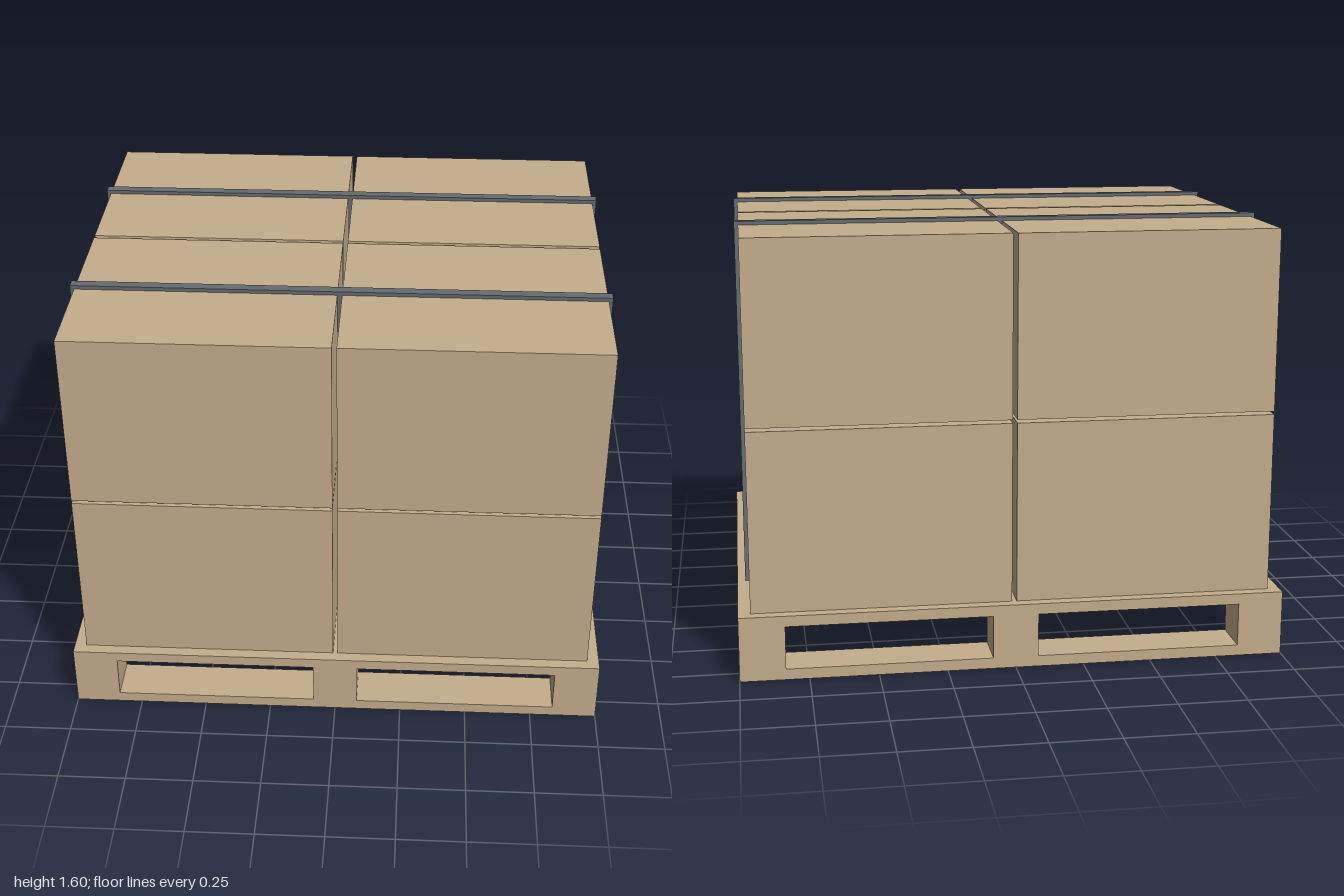
import * as THREE from 'three';

export function createModel() {
  const model = new THREE.Group();
  const cardboard = new THREE.MeshStandardMaterial({ color: 0xc4ad8c });
  cardboard.name = 'tan';
  const band = new THREE.MeshStandardMaterial({ color: 0x656b70 });
  band.name = 'slate grey';

  // Box placed by its centre in x and z and by its underside in y
  function addBox(parent, name, material, w, h, d, x, y, z) {
    const mesh = new THREE.Mesh(new THREE.BoxGeometry(w, h, d), material);
    mesh.name = name;
    mesh.position.set(x, y + h / 2, z);
    parent.add(mesh);
  }

  // Pallet: deck on three runners, each a bottom board with three blocks
  const pallet = new THREE.Group();
  pallet.name = 'pallet';
  addBox(pallet, 'deck', cardboard, 2, 0.04, 1.666, 0, 0.2, 0);
  for (const z of [-0.75, 0, 0.75]) {
    addBox(pallet, 'bottomBoard', cardboard, 2, 0.04, 0.166, 0, 0, z);
    for (const x of [-0.917, 0, 0.917]) {
      addBox(pallet, 'block', cardboard, 0.166, 0.16, 0.166, x, 0.04, z);
    }
  }
  model.add(pallet);

  // Cartons: two layers of four with narrow gaps between them
  const cartons = new THREE.Group();
  cartons.name = 'cartons';
  for (const y of [0.24, 0.919]) {
    for (const x of [-0.482, 0.482]) {
      for (const z of [-0.4, 0.4]) {
        addBox(cartons, 'carton', cardboard, 0.947, 0.667, 0.782, x, y, z);
      }
    }
  }
  model.add(cartons);

  // Straps: slabs through the load, showing at its rim and in the gaps
  for (const z of [-0.4, 0.4]) {
    addBox(model, 'strap', band, 1.94, 1.36, 0.037, 0, 0.24, z);
  }
  return model;
}
